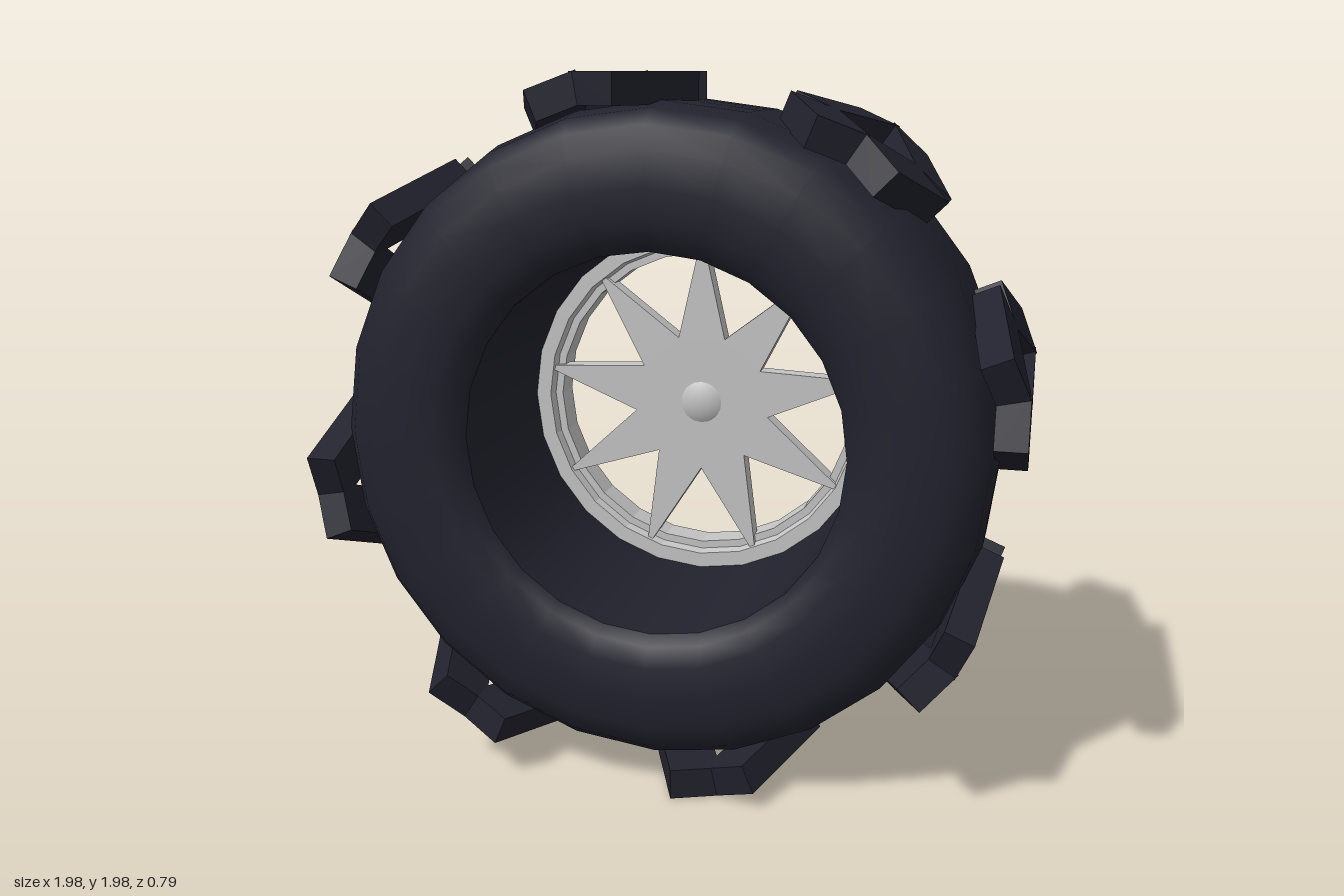
import * as THREE from 'three';

export function createModel() {
  const rubber = new THREE.MeshStandardMaterial({ color: 0x22222e });
  rubber.name = 'darkRubber';
  const metal = new THREE.MeshStandardMaterial({ color: 0xc4c4c4 });
  metal.name = 'lightMetal';
  const bolt = new THREE.MeshStandardMaterial({ color: 0x9c9c9c });
  bolt.name = 'greyBolt';

  const model = new THREE.Group();
  model.name = 'wheel';
  const wheel = new THREE.Group(); // wheel centre, axle along z
  wheel.name = 'wheelBody';
  wheel.position.y = 1.002;
  model.add(wheel);

  function add(name, geometry, material, parent = wheel) {
    const mesh = new THREE.Mesh(geometry, material);
    mesh.name = name;
    parent.add(mesh);
    return mesh;
  }

  // Revolve [radius, z] points around the axle
  function revolve(points, segments) {
    const g = new THREE.LatheGeometry(points.map(p => new THREE.Vector2(p[0], p[1])), segments);
    return g.rotateX(Math.PI / 2);
  }

  // Tyre: rounded tread and sidewalls
  const half = [[0.53, 0.32], [0.555, 0.355], [0.61, 0.377], [0.70, 0.383], [0.79, 0.373],
    [0.855, 0.345], [0.895, 0.29], [0.912, 0.2], [0.915, 0.07]];
  const outer = [...half.map(([r, z]) => [r, -z]), ...half.slice().reverse()];
  add('tyre', revolve(outer, 24), rubber);
  add('tyreBarrel', revolve([[0.53, 0.32], [0.53, -0.32]], 24), rubber);

  // Tread: eight diamond lugs, each made of two facing chevrons of two bars
  const slant = 0.384;
  const bar = new THREE.BoxGeometry(0.085, 0.142, 0.372);
  for (let i = 0; i < 16; i++) {
    const chevron = new THREE.Group();
    chevron.name = 'treadChevron';
    chevron.rotation.z = i * Math.PI / 8;
    wheel.add(chevron);
    const m = i % 2 === 0 ? 1 : -1;
    for (const s of [-1, 1]) {
      const b = add('treadBar', bar, rubber, chevron);
      b.position.set(0.942, m * 0.07, s * 0.191);
      b.rotation.x = -slant * s * m;
    }
  }

  // Rim ring with a stepped inner edge towards the front
  const rim = revolve([[0.455, -0.37], [0.532, -0.37], [0.532, -0.25], [0.485, -0.25],
    [0.478, -0.28], [0.455, -0.28], [0.455, -0.37]], 24).toNonIndexed();
  rim.computeVertexNormals();
  add('rimRing', rim, metal);

  // Square bolts around the rim
  for (let i = 0; i < 16; i++) {
    const a = (i + 0.5) * Math.PI / 8;
    const b = add('rimBolt', new THREE.BoxGeometry(0.034, 0.034, 0.008), bolt);
    b.position.set(0.494 * Math.cos(a), 0.494 * Math.sin(a), -0.371);
    b.rotation.z = a;
  }

  // Nine-pointed star plate, extruded from z0 to z1
  function star(tip, valley, z0, z1) {
    const shape = new THREE.Shape();
    for (let i = 0; i < 18; i++) {
      const a = Math.PI / 2 + i * Math.PI / 9;
      const r = i % 2 ? valley : tip;
      shape[i ? 'lineTo' : 'moveTo'](r * Math.cos(a), r * Math.sin(a));
    }
    shape.closePath();
    return new THREE.ExtrudeGeometry(shape, { depth: z1 - z0, bevelEnabled: false }).translate(0, 0, z0);
  }
  add('starSpokes', star(0.515, 0.21, -0.32, -0.26), metal);
  add('raisedStar', star(0.35, 0.155, -0.338, -0.315), metal);
  add('innerStar', star(0.29, 0.125, -0.348, -0.335), metal);

  // Hub dome
  const hub = add('hubDome', new THREE.SphereGeometry(0.1, 24, 16), metal);
  hub.scale.z = 0.78;
  hub.position.z = -0.32;

  // Five wheel nuts
  for (let i = 0; i < 5; i++) {
    const a = Math.PI / 2 + i * Math.PI * 2 / 5;
    const n = add('wheelNut', new THREE.CylinderGeometry(0.018, 0.018, 0.06, 8), bolt);
    n.rotation.x = Math.PI / 2;
    n.position.set(0.135 * Math.cos(a), 0.135 * Math.sin(a), -0.35);
  }
  return model;
}
